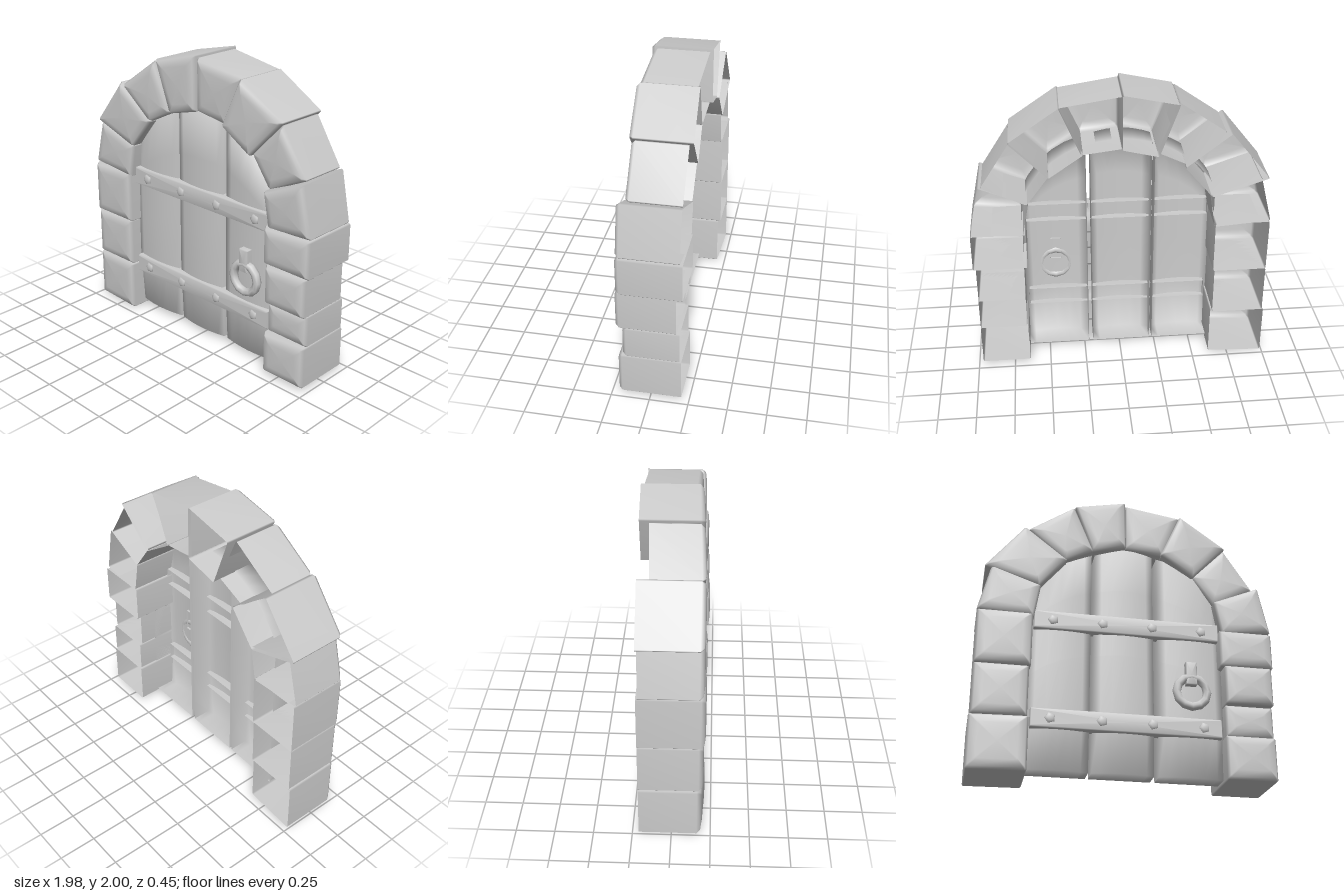
import * as THREE from 'three';

const material = new THREE.MeshStandardMaterial({ color: 0xcccccc, side: THREE.DoubleSide });

function addMesh(parent, name, geometry) {
  const mesh = new THREE.Mesh(geometry, material);
  mesh.name = name;
  parent.add(mesh);
  return mesh;
}

function indexed(positions, index) {
  const g = new THREE.BufferGeometry();
  g.setAttribute('position', new THREE.Float32BufferAttribute(positions, 3));
  g.setIndex(index);
  g.computeVertexNormals();
  return g;
}

// Hollow block, open at the back, with softened edges and a closed front.
// corners: anticlockwise seen from the front; rings: [inset, z] from back to front.
function block(corners, rings, chamfer, yaw = 0) {
  const pts = corners.map(([x, y]) => new THREE.Vector2(x, y));
  const centre = pts.reduce((s, p) => s.add(p), new THREE.Vector2()).multiplyScalar(1 / 4);
  const positions = [], index = [];
  for (const [inset, z] of rings) {
    pts.forEach((p, i) => {
      const toPrev = pts[(i + 3) % 4].clone().sub(p).normalize();
      const toNext = pts[(i + 1) % 4].clone().sub(p).normalize();
      const q = p.clone().addScaledVector(toPrev, inset).addScaledVector(toNext, inset);
      for (const dir of [toPrev, toNext]) {
        const v = q.clone().addScaledVector(dir, chamfer);
        positions.push(v.x, v.y, z + yaw * (v.x - centre.x));
      }
    });
  }
  for (let r = 0; r < rings.length - 1; r++) {
    for (let i = 0; i < 8; i++) {
      const a = r * 8 + i, b = r * 8 + (i + 1) % 8;
      index.push(a, b, b + 8, a, b + 8, a + 8);
    }
  }
  const last = (rings.length - 1) * 8;
  positions.push(centre.x, centre.y, rings[rings.length - 1][1]);
  for (let i = 0; i < 8; i++) index.push(last + i, last + (i + 1) % 8, last + 8);
  return indexed(positions, index);
}

const rect = (x0, x1, y0, y1) => [[x0, y0], [x1, y0], [x1, y1], [x0, y1]];

const stone = (corners, back, front, yaw) => block(corners,
  [[0, back], [0, front - 0.03], [0.015, front - 0.008], [0.06, front]], 0.008, yaw);

const fitting = (corners, back, front) => block(corners,
  [[0, back], [0, front - 0.01], [0.006, front]], 0.003);

// Height of the door's arched top
const archTop = x => 1.0 + 0.63 * Math.sqrt(1 - (x / 0.69) ** 2);

// Bowed plank, open at the back: the outermost rows and columns form its deep side walls
function plank(x0, x1) {
  const us = [0, 0, 0.12, 0.3, 0.5, 0.7, 0.88, 1, 1];
  const vs = [0, 0, 0.25, 0.5, 0.8, 1, 1];
  const nu = us.length, nv = vs.length, positions = [], index = [];
  vs.forEach((v, j) => us.forEach((u, i) => {
    const x = x0 + (x1 - x0) * u;
    const y = 0.04 + (archTop(x) - 0.04) * v;
    const wall = i === 0 || j === 0 || i === nu - 1 || j === nv - 1;
    const bend = v === 0 ? 0.02 : 0;
    positions.push(x, y, wall ? -0.05 : 0.125 - 0.025 * (2 * u - 1) ** 2 - bend);
  }));
  for (let j = 0; j < nv - 1; j++) {
    for (let i = 0; i < nu - 1; i++) {
      const a = j * nu + i, c = a + nu;
      index.push(a, a + 1, c + 1, a, c + 1, c);
    }
  }
  return indexed(positions, index);
}

export function createModel() {
  const model = new THREE.Group();
  model.name = 'archedDoor';

  // Side columns: x0, x1, y0, y1, back, front, yaw
  const columns = new THREE.Group();
  columns.name = 'columnStones';
  model.add(columns);
  [
    [-0.99, -0.62, 0.0, 0.352, -0.2, 0.2, 0.05],
    [-0.98, -0.63, 0.352, 0.692, -0.21, 0.2, 0],
    [-0.98, -0.62, 0.692, 1.06, -0.21, 0.21, 0],
    [0.625, 0.985, 0.79, 1.045, -0.21, 0.21, 0],
    [0.65, 0.97, 0.525, 0.79, -0.17, 0.22, 0],
    [0.65, 0.97, 0.308, 0.525, -0.19, 0.18, 0],
    [0.64, 0.97, 0.02, 0.308, -0.2, 0.21, 0],
  ].forEach(([x0, x1, y0, y1, back, front, yaw]) =>
    addMesh(columns, 'columnStone', stone(rect(x0, x1, y0, y1), back, front, yaw)));

  // Arch stones: four corners, back, front, yaw
  const arch = new THREE.Group();
  arch.name = 'archStones';
  model.add(arch);
  [
    [[[-0.985, 1.065], [-0.615, 1.035], [-0.575, 1.275], [-0.905, 1.39]], -0.2, 0.2, 0],
    [[[-0.955, 1.385], [-0.59, 1.265], [-0.405, 1.485], [-0.695, 1.71]], -0.21, 0.2, 0],
    [[[-0.675, 1.69], [-0.425, 1.48], [-0.225, 1.58], [-0.365, 1.91]], -0.15, 0.19, -0.05],
    [[[-0.36, 1.92], [-0.235, 1.575], [0, 1.635], [-0.005, 2.0]], -0.22, 0.18, -0.03],
    [[[-0.005, 1.635], [0.255, 1.6], [0.39, 1.92], [-0.005, 1.985]], -0.2, 0.16, 0.02],
    [[[0.24, 1.6], [0.465, 1.45], [0.71, 1.71], [0.385, 1.925]], -0.21, 0.18, -0.06],
    [[[0.46, 1.465], [0.61, 1.26], [0.895, 1.395], [0.7, 1.7]], -0.2, 0.15, 0.02],
    [[[0.6, 1.265], [0.645, 1.03], [0.985, 1.055], [0.915, 1.395]], -0.2, 0.2, 0.03],
  ].forEach(([corners, back, front, yaw]) =>
    addMesh(arch, 'archStone', stone(corners, back, front, yaw)));

  // Door planks
  [[-0.635, -0.23], [-0.21, 0.19], [0.22, 0.65]].forEach(([x0, x1]) =>
    addMesh(model, 'plank', plank(x0, x1)));

  // Crossbars with five-sided rivets
  const rivet = new THREE.SphereGeometry(0.038, 5, 3, 0, Math.PI * 2, 0, Math.PI / 2);
  rivet.scale(1, 0.4, 1).rotateX(Math.PI / 2);
  for (const y of [0.3, 0.98]) {
    addMesh(model, 'crossbar', fitting(rect(-0.61, 0.63, y, y + 0.125), 0.07, 0.15));
    for (const x of [-0.485, -0.155, 0.175, 0.51]) {
      addMesh(model, 'rivet', rivet).position.set(x, y + 0.062, 0.148);
    }
  }

  // Handle: ring hanging from its mount
  addMesh(model, 'handleMount', fitting(rect(0.395, 0.47, 0.65, 0.81), 0.11, 0.17));
  addMesh(model, 'handleRing', new THREE.TorusGeometry(0.102, 0.029, 8, 12))
    .position.set(0.435, 0.605, 0.145);

  return model;
}
